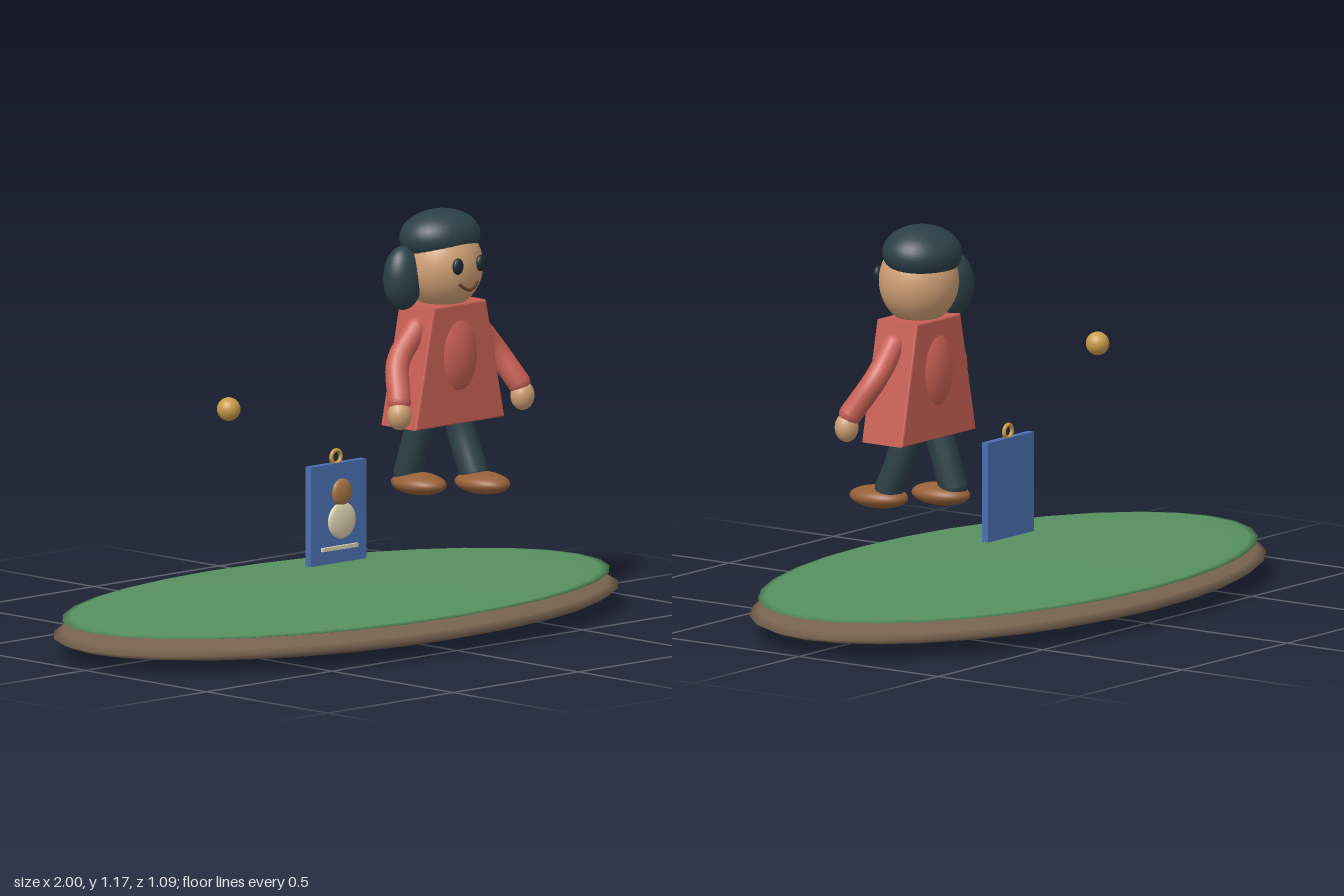
import * as THREE from 'three';

const paint = (color) => new THREE.MeshStandardMaterial({ color });
const MAT = {
  earth: paint(0x786350), grass: paint(0x56905f), coat: paint(0xc86054), hair: paint(0x2c4048),
  skin: paint(0xcfa074), shoe: paint(0x966038), card: paint(0x4a70b0), cream: paint(0xdcd2b0),
  gold: paint(0xc89c48), tan: paint(0xa87444), eye: paint(0x1c2c34), mouth: paint(0x6a4028),
};

function add(parent, name, geometry, material, x = 0, y = 0, z = 0) {
  const mesh = new THREE.Mesh(geometry, material);
  mesh.name = name;
  mesh.position.set(x, y, z);
  parent.add(mesh);
  return mesh;
}

// Ellipsoid given by its centre and three radii
function blob(parent, name, material, [x, y, z], [rx, ry, rz], ws = 32, hs = 20) {
  const geometry = new THREE.SphereGeometry(1, ws, hs).scale(rx, ry, rz);
  return add(parent, name, geometry, material, x, y, z);
}

// Curved limb with rounded ends
function limb(parent, name, material, points, radius) {
  const path = points.map((p) => new THREE.Vector3(...p));
  const group = new THREE.Group();
  group.name = name;
  parent.add(group);
  add(group, name + 'Tube', new THREE.TubeGeometry(new THREE.CatmullRomCurve3(path), 16, radius, 16), material);
  for (const p of [points[0], points[points.length - 1]]) {
    blob(group, name + 'End', material, p, [radius, radius, radius], 16, 12);
  }
}

function createGround() {
  const ground = new THREE.Group();
  ground.name = 'ground';
  blob(ground, 'earth', MAT.earth, [0, 0.057, 0], [1, 0.057, 0.545], 32, 12);
  blob(ground, 'grass', MAT.grass, [0, 0.104, 0], [0.97, 0.018, 0.525], 32, 12);
  return ground;
}

function createCard() {
  const card = new THREE.Group();
  card.name = 'pictureCard';
  add(card, 'cardPanel', new THREE.BoxGeometry(0.22, 0.29, 0.022), MAT.card, 0, 0.34, 0);
  add(card, 'hangingRing', new THREE.TorusGeometry(0.019, 0.006, 10, 24), MAT.gold, 0, 0.502, 0);
  blob(card, 'emblemBody', MAT.cream, [0, 0.32, 0.024], [0.054, 0.053, 0.014]);
  blob(card, 'emblemHead', MAT.tan, [0, 0.402, 0.024], [0.037, 0.04, 0.014]);
  add(card, 'emblemBar', new THREE.BoxGeometry(0.14, 0.011, 0.009), MAT.cream, 0, 0.24, 0.0155);
  return card;
}

function createGirl() {
  const girl = new THREE.Group();
  girl.name = 'girl';

  // Head, hair and face
  blob(girl, 'head', MAT.skin, [0, 1.01, 0], [0.118, 0.128, 0.114]);
  blob(girl, 'hairCap', MAT.hair, [0, 1.092, -0.012], [0.125, 0.08, 0.109]).rotation.x = -0.1;
  blob(girl, 'ponytail', MAT.hair, [-0.125, 0.982, -0.035], [0.062, 0.093, 0.052]);
  for (const s of [-1, 1]) {
    blob(girl, 'eye', MAT.eye, [s * 0.046, 1.023, 0.11], [0.019, 0.024, 0.012], 16, 12);
  }
  const smile = new THREE.QuadraticBezierCurve3(
    new THREE.Vector3(-0.036, 0.971, 0.104),
    new THREE.Vector3(0, 0.931, 0.122),
    new THREE.Vector3(0.036, 0.971, 0.104),
  );
  add(girl, 'mouth', new THREE.TubeGeometry(smile, 16, 0.005, 8), MAT.mouth);

  // Flared dress with the rounded torso showing through
  const outline = new THREE.Shape([
    new THREE.Vector2(-0.172, 0.56), new THREE.Vector2(0.172, 0.56),
    new THREE.Vector2(0.1, 0.9), new THREE.Vector2(-0.1, 0.9),
  ]);
  const dress = new THREE.ExtrudeGeometry(outline, {
    depth: 0.134, bevelThickness: 0.006, bevelSize: 0.005, bevelSegments: 2,
  });
  add(girl, 'dress', dress, MAT.coat, 0, 0, -0.067);
  blob(girl, 'torso', MAT.coat, [0, 0.755, 0], [0.105, 0.16, 0.095]);

  // Arms and hands
  for (const s of [-1, 1]) {
    limb(girl, 'arm', MAT.coat, [
      [s * 0.112, 0.838, 0.006], [s * 0.19, 0.75, 0.012], [s * 0.238, 0.648, 0.066],
    ], 0.034);
    blob(girl, 'hand', MAT.skin, [s * 0.245, 0.61, 0.075], [0.036, 0.043, 0.034], 20, 14);
  }

  // Striding legs and shoes
  for (const [s, knee, ankle, foot] of [[1, 0.014, 0.052, 0.09], [-1, -0.04, -0.068, -0.026]]) {
    limb(girl, 'leg', MAT.hair, [
      [s * 0.062, 0.6, -0.008], [s * 0.068, 0.5, knee], [s * 0.073, 0.405, ankle],
    ], 0.042);
    blob(girl, 'shoe', MAT.shoe, [s * 0.071, 0.379, foot], [0.064, 0.032, 0.094]);
  }
  return girl;
}

export function createModel() {
  const model = new THREE.Group();
  model.name = 'scene';
  const girl = createGirl();
  girl.position.x = 0.426;
  model.add(createGround(), createCard(), girl);
  blob(model, 'ball', MAT.gold, [-0.428, 0.692, 0], [0.034, 0.034, 0.034], 24, 16);
  return model;
}
